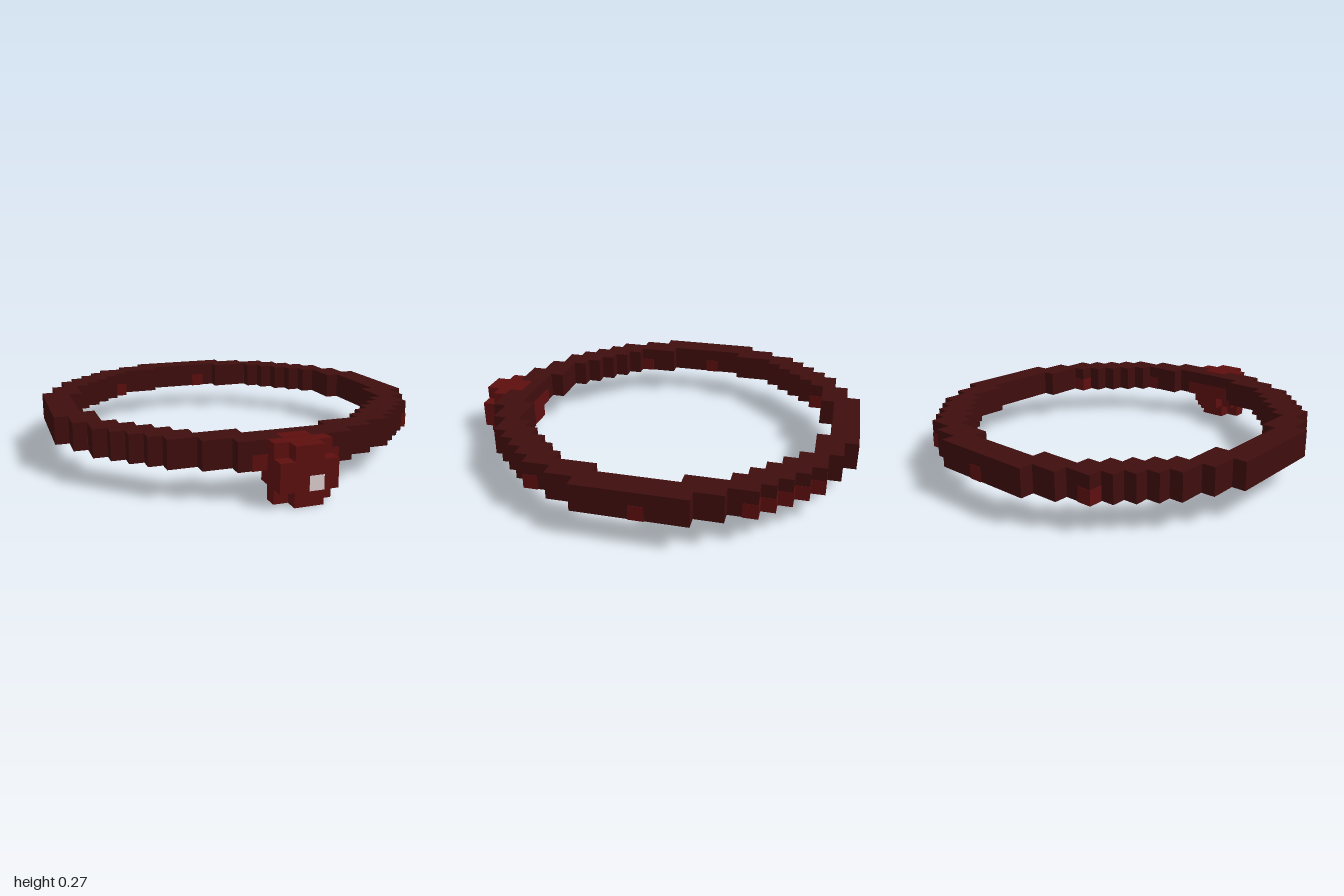
import * as THREE from 'three';

const U = 1 / 15; // one block

// Stepped quadrants of the ring: [half width, up to this depth], in blocks
const OUTER = [[14, 4], [13, 6], [12, 8], [11, 9], [10, 10], [9, 11], [8, 12], [6, 13], [4, 14]];
const INNER = [[12, 3], [11, 6], [10, 7], [9, 8], [8, 9], [7, 10], [6, 11], [3, 12]];

function steppedOutline(steps) {
  const q = [];
  let from = 0;
  for (const [w, to] of steps) {
    if (from > 0) q.push([w, from]);
    q.push([w, to]);
    from = to;
  }
  const r = [...q].reverse();
  return [
    ...q,
    ...r.map(([x, y]) => [-x, y]),
    ...q.map(([x, y]) => [-x, -y]),
    ...r.map(([x, y]) => [x, -y]),
  ].map(([x, y]) => new THREE.Vector2(x * U, y * U));
}

export function createModel() {
  const model = new THREE.Group();
  model.name = 'pendantRing';
  const mat = (name, color) => {
    const m = new THREE.MeshStandardMaterial({ color });
    m.name = name;
    return m;
  };
  const darkRed = mat('dark red', 0x3f0d0d);
  const gemRed = mat('gem red', 0x5e0f0f);
  const shine = mat('pale shine', 0xe0d0d0);

  // Box from block bounds, optionally swollen to sit just proud of its neighbours
  function block(parent, name, material, [x0, x1], [y0, y1], [z0, z1], swell = 0) {
    const g = new THREE.BoxGeometry((x1 - x0) * U + swell, (y1 - y0) * U + swell, (z1 - z0) * U + swell);
    const m = new THREE.Mesh(g, material);
    m.position.set((x0 + x1) / 2 * U, (y0 + y1) / 2 * U, (z0 + z1) / 2 * U);
    m.name = name;
    parent.add(m);
  }

  // Stepped ring, two blocks tall
  const shape = new THREE.Shape(steppedOutline(OUTER));
  shape.holes.push(new THREE.Path(steppedOutline(INNER)));
  const ringGeo = new THREE.ExtrudeGeometry(shape, { depth: 2 * U, bevelEnabled: false });
  ringGeo.rotateX(-Math.PI / 2);
  const ring = new THREE.Mesh(ringGeo, darkRed);
  ring.name = 'ring';
  ring.position.set(0, 2 * U, -U);
  model.add(ring);

  // Brighter blocks scattered along the lower half of the ring: [x, z]
  const flecks = new THREE.Group();
  flecks.name = 'ringFlecks';
  const cells = [
    [6, -13], [7, -13], [8, -12], [9, -11], [10, -10], [11, -9],
    [11, 6], [13, -2], [0, -15], [-8, -13], [5, 10], [10, 5],
    [-7, -12], [1, -14], [-12, 4], [-13, -2],
  ];
  for (const [x, z] of cells) block(flecks, 'fleck', gemRed, [x, x + 1], [2, 3], [z, z + 1], 0.004);
  model.add(flecks);

  // Rounded gem: layers of blocks with the corners stepped in
  const gem = new THREE.Group();
  gem.name = 'gem';
  block(gem, 'gemBottom', gemRed, [-1, 1], [0, 1], [12, 15]);
  block(gem, 'gemBottomSides', gemRed, [-2, 2], [0, 1], [13, 14]);
  block(gem, 'gemBody', gemRed, [-2, 2], [1, 2], [12, 15]);
  block(gem, 'gemBodyBack', gemRed, [-1, 1], [1, 2], [11, 12]);
  block(gem, 'gemBodyUpper', gemRed, [-2, 2], [2, 3], [13, 15]);
  block(gem, 'gemTop', gemRed, [-1, 1], [3, 4], [13, 15]);
  block(gem, 'gemTopSides', gemRed, [-2, 2], [3, 4], [13, 14]);
  // Gem blocks set into the ring
  block(gem, 'gemTopInset', gemRed, [-1, 1], [3, 4], [12, 13], 0.004);
  block(gem, 'gemSideInset', gemRed, [-3, 3], [2, 3], [12, 13], 0.004);
  block(gem, 'gemBackInset', gemRed, [-2, 2], [2, 3], [11, 12], 0.004);
  // Highlight on the front face
  block(gem, 'gemShine', shine, [0, 1], [1, 2], [14.95, 15.03]);
  model.add(gem);

  return model;
}
